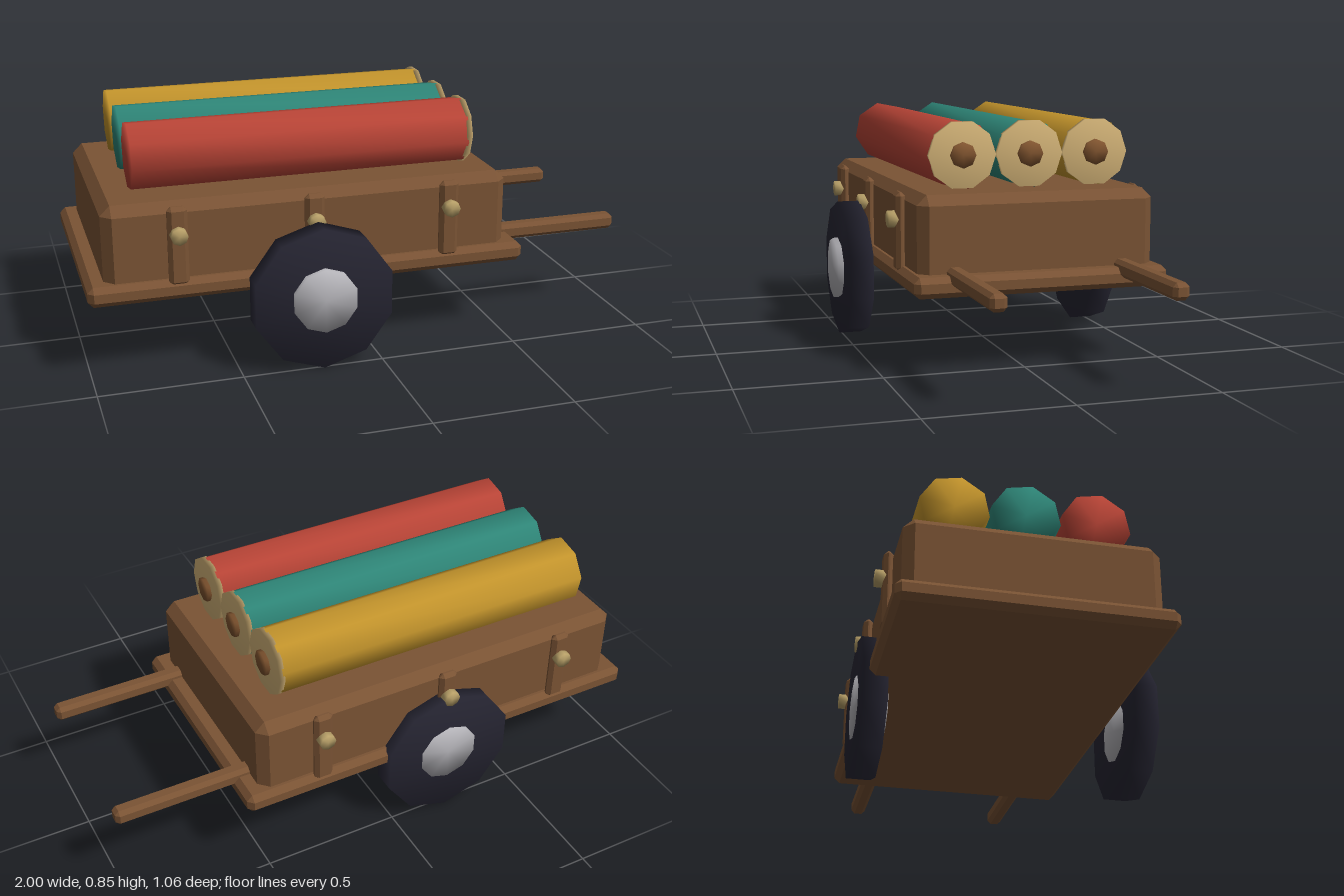
import * as THREE from 'three';
import { mergeVertices } from 'three/addons/utils/BufferGeometryUtils.js';
import { ConvexGeometry } from 'three/addons/geometries/ConvexGeometry.js';

const MID_Z = -0.05; // centre line of the cart bed

function material(name, color) {
  const m = new THREE.MeshStandardMaterial({ color });
  m.name = name;
  return m;
}

// Box with every edge chamfered by c, given by its min and max corners
function chamferBox(min, max, c) {
  const half = min.map((v, i) => (max[i] - v) / 2);
  const points = [];
  for (const sx of [-1, 1]) for (const sy of [-1, 1]) for (const sz of [-1, 1])
    for (let axis = 0; axis < 3; axis++) {
      const p = half.map((h, i) => (i === axis ? h : h - c));
      points.push(new THREE.Vector3(sx * p[0], sy * p[1], sz * p[2]));
    }
  const g = new ConvexGeometry(points);
  g.translate(...min.map((v, i) => (v + max[i]) / 2));
  return g;
}

// Low-sided cylinder with normals blended over its rims
function softCylinder(radius, length, sides, axis, start = 0) {
  let g = new THREE.CylinderGeometry(radius, radius, length, sides, 1, false, start);
  g.deleteAttribute('uv');
  g.deleteAttribute('normal');
  g = mergeVertices(g, 1e-4);
  if (axis === 'x') g.rotateZ(-Math.PI / 2);
  else g.rotateX(Math.PI / 2);
  g.computeVertexNormals();
  return g;
}

export function createModel() {
  const group = new THREE.Group();
  group.name = 'handCart';

  const wood = material('wood', 0x7a5334);
  const tyre = material('tyre', 0x252431);
  const steel = material('steel', 0xb4b3b8);
  const brass = material('brass', 0xb8a068);
  const parchment = material('parchment', 0xd4b478);
  const core = material('coreWood', 0x80542f);

  const add = (name, geometry, mat, x = 0, y = 0, z = 0) => {
    const mesh = new THREE.Mesh(geometry, mat);
    mesh.name = name;
    mesh.position.set(x, y, z);
    group.add(mesh);
  };

  // Bed
  add('basePlank', chamferBox([-1, 0.27, -0.505], [0.57, 0.342, 0.405], 0.02), wood);
  add('cargoBox', chamferBox([-0.94, 0.29, -0.475], [0.51, 0.608, 0.375], 0.035), wood);

  // Pull handles
  for (const z of [0.252, -0.353])
    add('handle', chamferBox([0.48, 0.307, z - 0.029], [1, 0.365, z + 0.029], 0.014), wood);

  // Side posts with round studs
  const postGeo = chamferBox([-0.035, 0.32, -0.017], [0.035, 0.6, 0.017], 0.014);
  const studGeo = softCylinder(0.03, 0.04, 8, 'z');
  for (const side of [1, -1])
    for (const x of [-0.69, -0.213, 0.28]) {
      add('sidePost', postGeo, wood, x, 0, MID_Z + side * 0.438);
      add('stud', studGeo, brass, x, 0.505, MID_Z + side * 0.46);
    }

  // Wheels: both hubs reach further towards +z
  const wheelGeo = softCylinder(0.255, 0.085, 10, 'z');
  const hubGeo = softCylinder(0.115, 0.107, 10, 'z');
  for (const z of [0.4675, -0.4825]) {
    add('wheel', wheelGeo, tyre, -0.213, 0.255, z);
    add('hub', hubGeo, steel, -0.213, 0.256, z + 0.009);
  }

  // Three rolls, capped at the handle end
  const rollGeo = softCylinder(0.12, 1.205, 8, 'x', Math.PI / 16);
  const capGeo = softCylinder(0.12, 0.02, 10, 'x');
  const coreGeo = softCylinder(0.045, 0.04, 8, 'x');
  const rolls = [
    [0.192, material('red', 0xb84436)],
    [-0.05, material('teal', 0x2e8577)],
    [-0.292, material('ochre', 0xc2932b)],
  ];
  for (const [z, mat] of rolls) {
    add('roll', rollGeo, mat, -0.2175, 0.731, z);
    add('rollCap', capGeo, parchment, 0.388, 0.731, z);
    add('rollCore', coreGeo, core, 0.393, 0.731, z);
  }

  return group;
}
